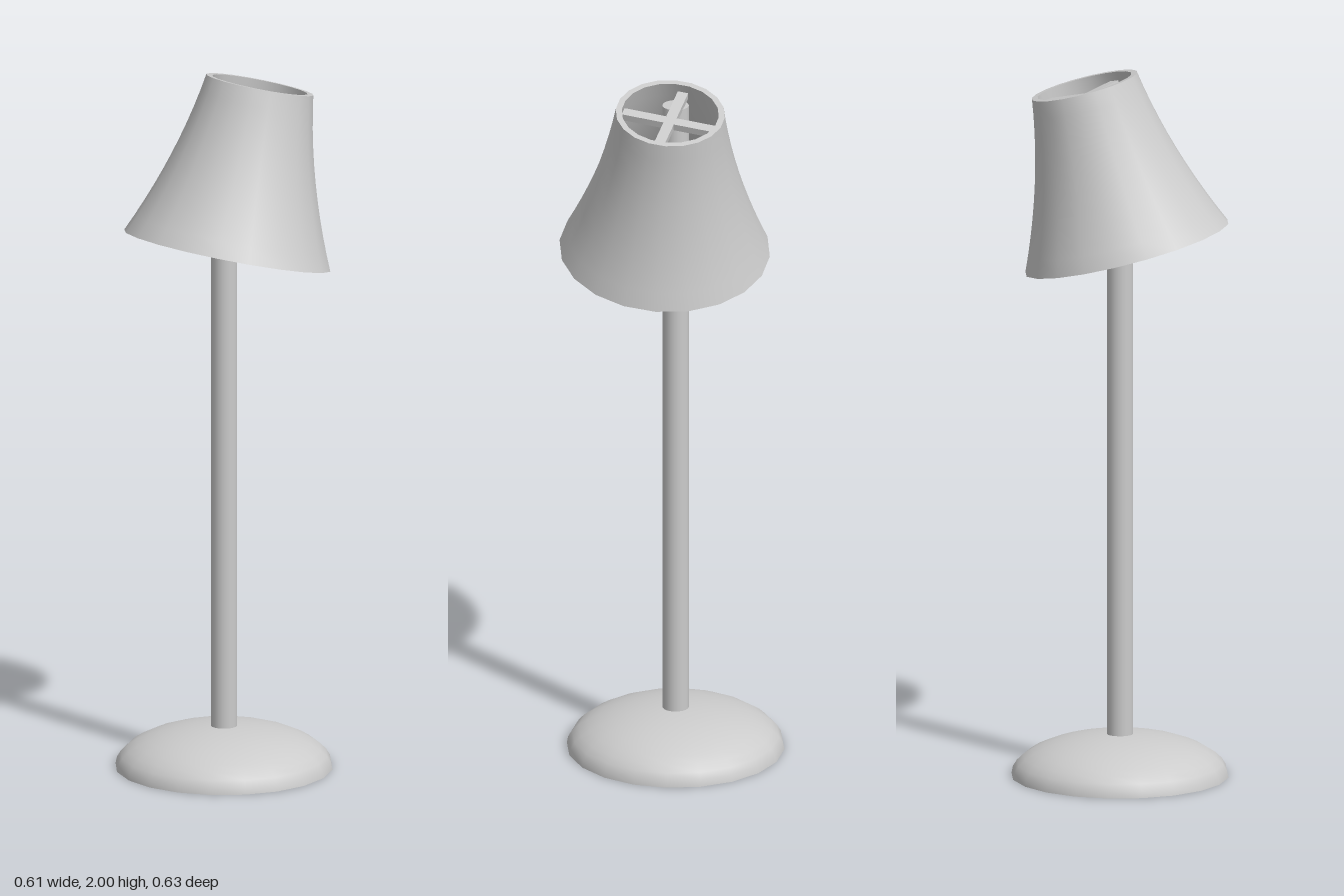
import * as THREE from 'three';
import { toCreasedNormals } from 'three/addons/utils/BufferGeometryUtils.js';

const SIDES = 20;
const material = new THREE.MeshStandardMaterial({ color: 0xcccccc });

function addMesh(parent, name, geometry) {
  const mesh = new THREE.Mesh(geometry, material);
  mesh.name = name;
  parent.add(mesh);
  return mesh;
}

// Turned part with smooth sides and sharp rims
function turned(points) {
  const profile = points.map(([r, y]) => new THREE.Vector2(r, y));
  return toCreasedNormals(new THREE.LatheGeometry(profile, SIDES), 0.7);
}

export function createModel() {
  const lamp = new THREE.Group();
  lamp.name = 'tableLamp';

  // Domed base with a flat underside
  const dome = [[0, 0]];
  for (let i = 0; i <= 10; i++) {
    const a = (i / 10) * Math.PI / 2;
    dome.push([i === 10 ? 0 : 0.305 * Math.cos(a), 0.12 * Math.sin(a)]);
  }
  addMesh(lamp, 'base', turned(dome)).position.z = -0.01;

  // Upright pole reaching up inside the shade
  const poleBottom = 0.08, poleTop = 1.94;
  const pole = addMesh(lamp, 'pole',
    new THREE.CylinderGeometry(0.037, 0.037, poleTop - poleBottom, SIDES));
  pole.position.set(0, (poleBottom + poleTop) / 2, -0.01);

  // Tilted shade assembly, its local y running from the lower to the upper rim
  const lower = new THREE.Vector3(0.003, 1.503, 0.022);
  const upper = new THREE.Vector3(0.108, 1.962, -0.039);
  const axis = upper.clone().sub(lower);
  const height = axis.length();
  const shadeGroup = new THREE.Group();
  shadeGroup.name = 'shadeAssembly';
  shadeGroup.position.copy(lower);
  shadeGroup.quaternion.setFromUnitVectors(new THREE.Vector3(0, 1, 0), axis.normalize());
  lamp.add(shadeGroup);

  // Flared shell with a gentle inward curve and real wall thickness
  const wall = 0.017, steps = 10;
  const radius = (t) => 0.295 + (0.153 - 0.295) * t - 0.072 * t * (1 - t);
  const outer = [], inner = [];
  for (let i = 0; i <= steps; i++) {
    const t = i / steps;
    outer.push([radius(t), t * height]);
    inner.unshift([radius(t) - wall, t * height]);
  }
  addMesh(shadeGroup, 'shade', turned([...outer, ...inner, outer[0]]));

  // Crossed support bars just below the upper rim
  for (let i = 0; i < 2; i++) {
    const bar = addMesh(shadeGroup, 'supportBar', new THREE.BoxGeometry(0.272, 0.02, 0.03));
    bar.position.y = height - 0.035;
    bar.rotation.y = 0.13 + i * Math.PI / 2;
  }

  return lamp;
}
